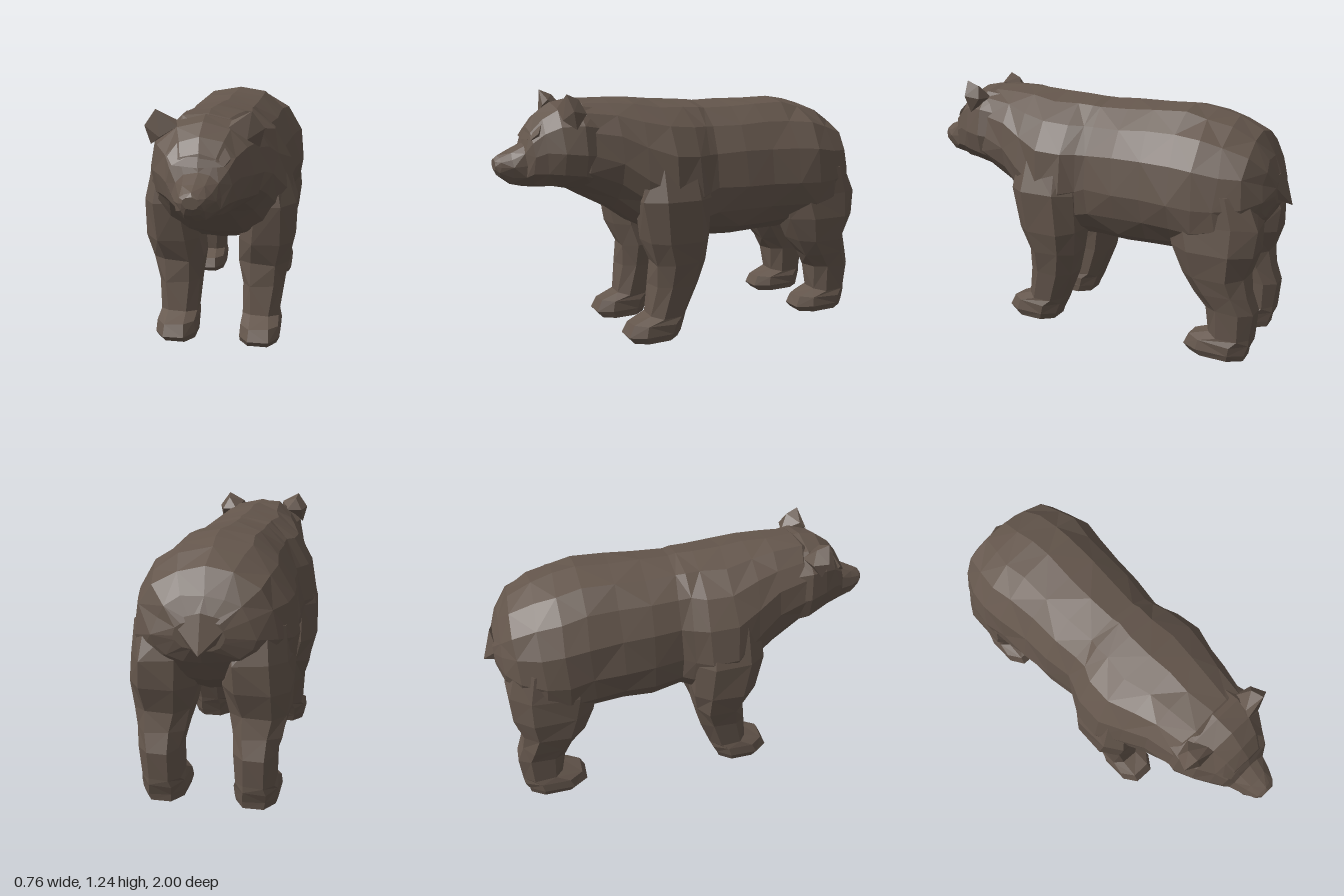
import * as THREE from 'three';
import { ConvexGeometry } from 'three/addons/geometries/ConvexGeometry.js';

const fur = new THREE.MeshStandardMaterial({ color: 0x64564c, flatShading: true });
fur.name = 'brown fur';

// Small repeatable offset that roughens the facets
function jitter(i, j, k, amount) {
  const s = Math.sin(i * 12.99 + j * 78.23 + k * 37.72) * 43758.55;
  return (s - Math.floor(s) - 0.5) * 2 * amount;
}

// Skins a list of rings (each an array of [x, y, z]) and closes both ends
function loft(name, rings) {
  const n = rings[0].length;
  const pos = rings.flat(2);
  const index = [];
  for (let i = 0; i < rings.length - 1; i++) {
    for (let j = 0; j < n; j++) {
      const a = i * n + j, b = i * n + (j + 1) % n, c = b + n, d = a + n;
      if ((i + j) % 2) index.push(a, b, c, a, c, d);
      else index.push(a, b, d, b, c, d);
    }
  }
  const last = rings.length - 1;
  for (const [r, start] of [[0, true], [last, false]]) {
    const centre = pos.length / 3;
    for (let k = 0; k < 3; k++) pos.push(rings[r].reduce((s, p) => s + p[k], 0) / n);
    for (let j = 0; j < n; j++) {
      const a = r * n + j, b = r * n + (j + 1) % n;
      if (start) index.push(centre, b, a);
      else index.push(centre, a, b);
    }
  }
  let geo = new THREE.BufferGeometry();
  geo.setAttribute('position', new THREE.Float32BufferAttribute(pos, 3));
  geo.setIndex(index);
  geo = geo.toNonIndexed();
  geo.computeVertexNormals();
  const mesh = new THREE.Mesh(geo, fur);
  mesh.name = name;
  return mesh;
}

const power = (v, e) => Math.sign(v) * Math.abs(v) ** e;

// Sections along z: [z, bottom, top, half width, height of widest point]
function torsoLoft(name, sections, sides, rough) {
  return loft(name, sections.map(([z, low, high, w, mid], i) =>
    Array.from({ length: sides }, (_, j) => {
      const a = Math.PI / 2 + j / sides * Math.PI * 2;
      const s = power(Math.sin(a), 0.92), c = power(Math.cos(a), 0.92);
      return [
        c * w + jitter(i, j, 1, rough),
        mid + s * (s > 0 ? high - mid : mid - low) + jitter(i, j, 2, rough * 0.6),
        z + (i === 0 || i === sections.length - 1 ? 0 : jitter(i, j, 3, rough)),
      ];
    })));
}

// Sections along y: [y, inner x, outer x, back z, front z]
function legLoft(name, sections, side) {
  const sides = 8;
  return loft(name, sections.map(([y, x0, x1, z0, z1], i) =>
    Array.from({ length: sides }, (_, j) => {
      const a = (j + 0.5) / sides * Math.PI * 2;
      const rough = i < 2 ? 0.003 : 0.007;
      return [
        side * (x0 + x1) / 2 + power(Math.cos(a), 0.75) * (x1 - x0) / 2 * 1.04 + jitter(i, j, 4, rough),
        y + (i === 0 ? 0 : jitter(i, j, 5, rough)),
        (z0 + z1) / 2 - power(Math.sin(a), 0.75) * (z1 - z0) / 2 * 1.04 + jitter(i, j, 6, rough),
      ];
    })));
}

// Faceted solid around a handful of points, mirrored when side is -1
function hull(name, points, side = 1) {
  const mesh = new THREE.Mesh(
    new ConvexGeometry(points.map(([x, y, z]) => new THREE.Vector3(x * side, y, z))), fur);
  mesh.name = name;
  return mesh;
}

export function createModel() {
  const bear = new THREE.Group();
  bear.name = 'bear';

  // Torso from rump to throat, with a step behind the shoulders
  bear.add(torsoLoft('body', [
    [-0.945, 0.74, 0.87, 0.11, 0.8],
    [-0.905, 0.67, 0.965, 0.22, 0.79],
    [-0.84, 0.58, 1.07, 0.312, 0.77],
    [-0.73, 0.51, 1.135, 0.365, 0.75],
    [-0.62, 0.48, 1.165, 0.382, 0.75],
    [-0.5, 0.46, 1.19, 0.362, 0.76],
    [-0.35, 0.455, 1.182, 0.342, 0.76],
    [-0.2, 0.455, 1.176, 0.33, 0.76],
    [-0.05, 0.465, 1.172, 0.305, 0.76],
    [0, 0.467, 1.185, 0.325, 0.74],
    [0.08, 0.475, 1.192, 0.36, 0.74],
    [0.21, 0.51, 1.19, 0.372, 0.76],
    [0.34, 0.58, 1.205, 0.32, 0.83],
    [0.46, 0.66, 1.212, 0.275, 0.91],
    [0.6, 0.745, 1.212, 0.246, 0.96],
    [0.69, 0.795, 1.15, 0.19, 0.97],
  ], 16, 0.01));

  // Head tapering through the brow into the muzzle
  bear.add(torsoLoft('head', [
    [0.53, 0.725, 1.195, 0.24, 0.95],
    [0.63, 0.765, 1.212, 0.26, 0.96],
    [0.72, 0.785, 1.19, 0.225, 0.97],
    [0.79, 0.79, 1.14, 0.178, 0.97],
    [0.84, 0.796, 1.08, 0.142, 0.95],
    [0.868, 0.8, 1.01, 0.108, 0.91],
    [0.93, 0.815, 0.975, 0.085, 0.9],
    [0.98, 0.855, 0.95, 0.058, 0.905],
    [1.0, 0.885, 0.935, 0.036, 0.91],
  ], 12, 0.006));

  const foreSections = [
    [0.004, 0.115, 0.305, 0.17, 0.41],
    [0.04, 0.11, 0.32, 0.15, 0.44],
    [0.095, 0.115, 0.315, 0.135, 0.415],
    [0.125, 0.115, 0.31, 0.12, 0.32],
    [0.28, 0.11, 0.325, 0.06, 0.29],
    [0.4, 0.09, 0.35, 0.02, 0.29],
    [0.52, 0.1, 0.375, 0.005, 0.335],
    [0.72, 0.12, 0.382, 0.01, 0.375],
    [0.92, 0.14, 0.325, 0.04, 0.34],
  ];
  const hindSections = [
    [0.002, 0.12, 0.3, -0.875, -0.6],
    [0.035, 0.11, 0.315, -0.885, -0.57],
    [0.085, 0.115, 0.31, -0.895, -0.59],
    [0.115, 0.12, 0.305, -0.9, -0.69],
    [0.25, 0.12, 0.31, -0.91, -0.68],
    [0.33, 0.11, 0.325, -0.89, -0.62],
    [0.42, 0.09, 0.345, -0.87, -0.56],
    [0.54, 0.06, 0.36, -0.905, -0.5],
    [0.67, 0.05, 0.355, -0.915, -0.47],
    [0.82, 0.05, 0.34, -0.86, -0.5],
  ];

  for (const [side, label] of [[1, 'left'], [-1, 'right']]) {
    bear.add(legLoft(label + 'ForeLeg', foreSections, side));
    bear.add(legLoft(label + 'HindLeg', hindSections, side));

    // Ear, broad in front and tapering back into the head
    bear.add(hull(label + 'Ear', [
      [0.11, 1.17, 0.72], [0.12, 1.195, 0.69], [0.208, 1.24, 0.705], [0.262, 1.165, 0.69],
      [0.24, 1.08, 0.67], [0.19, 1.12, 0.72], [0.2, 1.215, 0.645], [0.235, 1.15, 0.62],
      [0.15, 1.15, 0.6],
    ], side));

    // Brow ridge above the eye, running back into the forehead
    bear.add(hull(label + 'Brow', [
      [0, 1.025, 0.866], [0.11, 1.03, 0.85], [0.135, 1.06, 0.82], [0.1, 1.11, 0.79],
      [0, 1.09, 0.835], [0, 1.02, 0.82], [0.12, 1.02, 0.8],
    ], side));
  }

  // Short drooping tail, broad at the root
  bear.add(hull('tail', [
    [-0.13, 0.86, -0.925], [0.13, 0.86, -0.925], [0, 0.73, -1], [0, 0.9, -0.95],
    [-0.07, 0.77, -0.94], [0.07, 0.77, -0.94], [0, 0.82, -0.88],
  ]));

  return bear;
}
